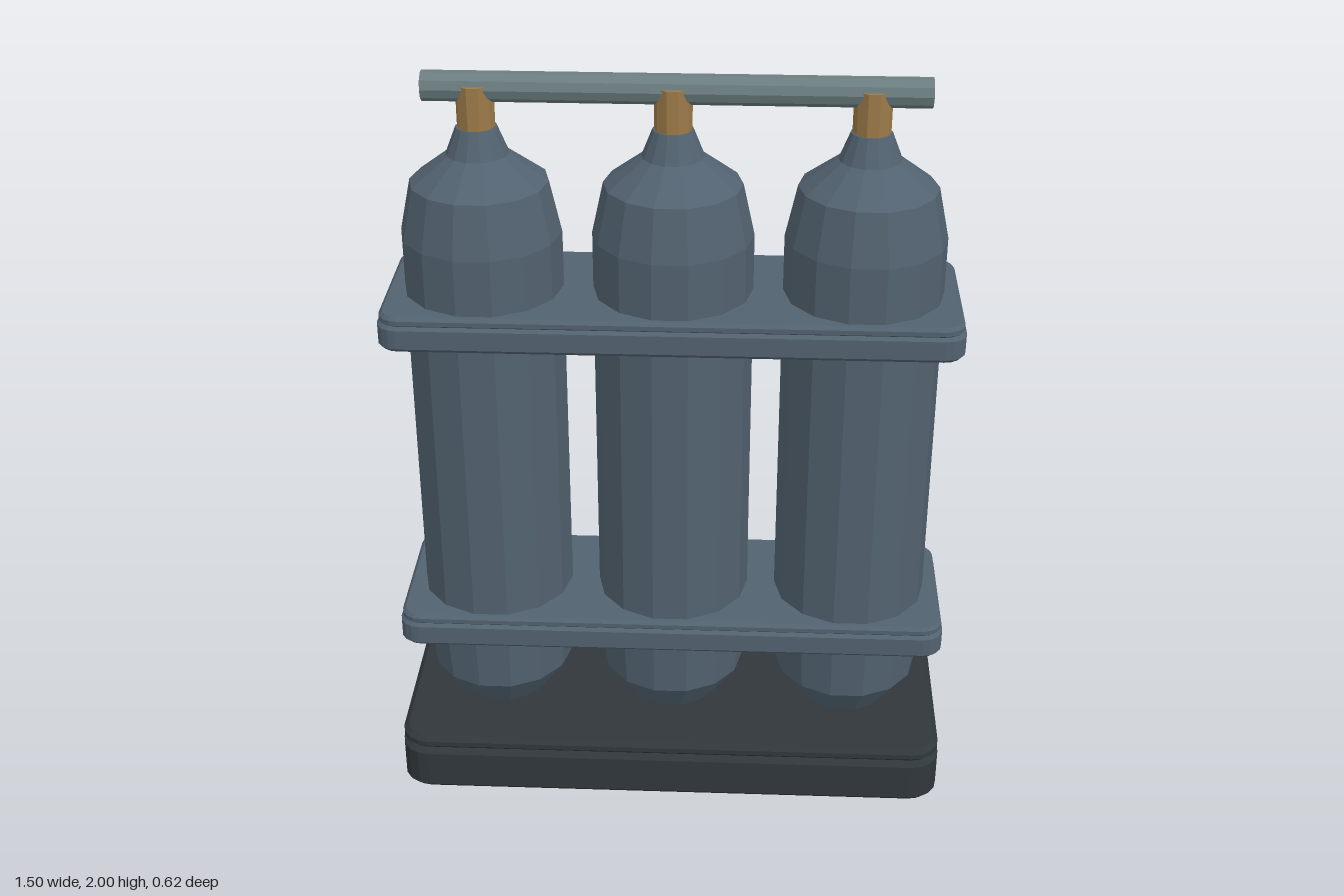
import * as THREE from 'three';

const material = (name, color) => {
  const m = new THREE.MeshStandardMaterial({ color, flatShading: true });
  m.name = name;
  return m;
};

// Rounded slab lying flat between y0 and y1, with one-step bevels all round
function slabGeometry(width, depth, radius, y0, y1, bevel) {
  const w = width / 2 - bevel, d = depth / 2 - bevel, r = radius - bevel / 2;
  const s = new THREE.Shape();
  s.absarc(w - r, d - r, r, 0, Math.PI / 2);
  s.absarc(-w + r, d - r, r, Math.PI / 2, Math.PI);
  s.absarc(-w + r, -d + r, r, Math.PI, Math.PI * 1.5);
  s.absarc(w - r, -d + r, r, Math.PI * 1.5, Math.PI * 2);
  const g = new THREE.ExtrudeGeometry(s, {
    depth: y1 - y0 - 2 * bevel, curveSegments: 2,
    bevelEnabled: true, bevelSegments: 1, bevelSize: bevel, bevelThickness: bevel,
  });
  return g.rotateX(-Math.PI / 2).translate(0, y0 + bevel, 0);
}

export function createModel() {
  const model = new THREE.Group();
  model.name = 'gasCylinderRack';
  const steel = material('blue grey steel', 0x526270);
  const dark = material('dark base', 0x30373b);
  const brass = material('brass', 0x9c7a48);
  const pipeGrey = material('pipe grey', 0x6c7d80);

  const add = (name, geometry, mat, parent = model) => {
    const mesh = new THREE.Mesh(geometry, mat);
    mesh.name = name;
    parent.add(mesh);
    return mesh;
  };

  // Base block with a thin lip
  add('base', slabGeometry(1.5, 0.615, 0.07, 0, 0.145, 0.02), dark);
  add('baseLip', slabGeometry(1.495, 0.61, 0.07, 0.138, 0.18, 0.014), dark);

  // Two clamp plates holding the bottles
  for (const [name, y] of [['lowerClamp', 0.435], ['upperClamp', 1.335]]) {
    const clamp = new THREE.Group();
    clamp.name = name;
    add('clampPlate', slabGeometry(1.485, 0.45, 0.05, y, y + 0.073, 0.011), steel, clamp);
    add('clampLip', slabGeometry(1.475, 0.44, 0.05, y + 0.065, y + 0.095, 0.009), steel, clamp);
    model.add(clamp);
  }

  // Three bottles with brass valves
  const profile = [
    [0, 0.13], [0.09, 0.13], [0.125, 0.18], [0.197, 0.28], [0.207, 0.43],
    [0.207, 1.58], [0.177, 1.717], [0.08, 1.79], [0.052, 1.86], [0, 1.86],
  ].map(([r, y]) => new THREE.Vector2(r, y));
  for (const x of [-0.49, 0, 0.49]) {
    const bottle = new THREE.Group();
    bottle.name = 'bottle';
    bottle.position.x = x;
    const body = new THREE.LatheGeometry(profile, 14, Math.PI / 2);
    add('bottleBody', body, steel, bottle);
    const valve = new THREE.CylinderGeometry(0.048, 0.048, 0.12, 10, 1, false, Math.PI / 2);
    add('valve', valve.translate(0, 1.91, 0), brass, bottle);
    model.add(bottle);
  }

  // Manifold pipe across the valves
  const pipe = new THREE.CylinderGeometry(0.038, 0.038, 1.255, 10);
  add('manifoldPipe', pipe.rotateZ(Math.PI / 2).translate(0.007, 1.962, 0), pipeGrey);

  return model;
}
